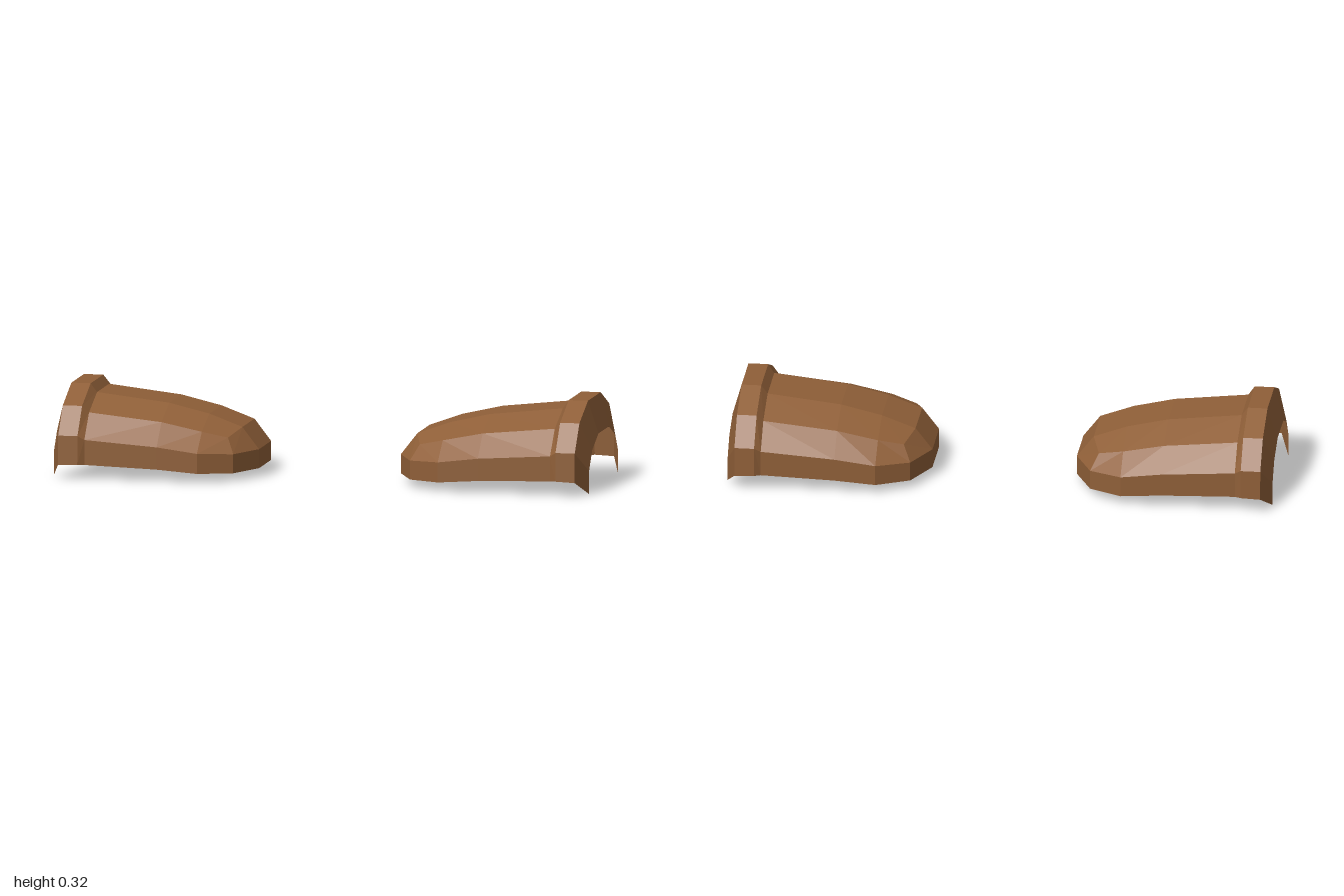
import * as THREE from 'three';

// Half cross-sections: [x, y, z] from the bottom edge up to the crown.
const section = (x, pts) => pts.map(([z, y]) => [x, y, z]);
const neck = section(0.87, [[0.31, 0.053], [0.31, 0.145], [0.232, 0.235], [0.1, 0.29]]);

const rimSections = [
  section(1.0, [[0.24, 0], [0.24, 0.085], [0.187, 0.155], [0.085, 0.2]]),
  section(0.965, [[0.325, 0.052], [0.322, 0.16], [0.245, 0.26], [0.104, 0.322]]),
  section(0.893, [[0.325, 0.055], [0.322, 0.16], [0.245, 0.26], [0.104, 0.322]]),
  neck,
];

const shellSections = [
  neck,
  section(0.6, [[0.31, 0.045], [0.31, 0.127], [0.23, 0.208], [0.1, 0.26]]),
  section(0.45, [[0.308, 0.034], [0.308, 0.108], [0.226, 0.177], [0.1, 0.225]]),
  [[0.33, 0.03, 0.238], [0.33, 0.1, 0.238], [0.358, 0.155, 0.2], [0.327, 0.18, 0.1]],
  [[0.265, 0.03, 0.1], [0.265, 0.1, 0.1], [0.327, 0.18, 0.1], [0.327, 0.18, 0.1]],
];

const flipZ = ([x, y, z]) => [x, y, -z];

// Skins the sections; side = -1 builds the mirrored piece.
function loft(sections, side, capped) {
  const positions = [];
  const tri = (a, b, c) => {
    const [p, q, r] = [a, b, c].map(v => new THREE.Vector3(...v));
    if (q.clone().sub(p).cross(r.clone().sub(p)).length() < 1e-8) return;
    for (const v of side > 0 ? [a, b, c] : [a, c, b]) positions.push(v[0] * side, v[1], v[2]);
  };
  const quad = (a, b, c, d) => { tri(a, b, c); tri(a, c, d); };
  const full = sections.map(s => [...s, ...[...s].reverse().map(flipZ)]);
  for (let i = 0; i < full.length - 1; i++) {
    for (let j = 0; j < full[i].length - 1; j++) {
      quad(full[i][j], full[i][j + 1], full[i + 1][j + 1], full[i + 1][j]);
    }
  }
  // Close the blunt toe between the two halves of the last section
  if (capped) {
    const t = sections[sections.length - 1];
    for (let j = 0; j < 2; j++) quad(t[j], t[j + 1], flipZ(t[j + 1]), flipZ(t[j]));
  }
  const geometry = new THREE.BufferGeometry();
  geometry.setAttribute('position', new THREE.Float32BufferAttribute(positions, 3));
  geometry.computeVertexNormals();
  return geometry;
}

export function createModel() {
  const leather = new THREE.MeshStandardMaterial({ color: 0x8f5f38, side: THREE.DoubleSide, flatShading: true });
  leather.name = 'brown leather';

  const model = new THREE.Group();
  model.name = 'shoulderPads';
  for (const [name, side] of [['left', 1], ['right', -1]]) {
    const pad = new THREE.Group();
    pad.name = name + 'Pad';
    // Raised band with inward lip around the arm opening
    const rim = new THREE.Mesh(loft(rimSections, side, false), leather);
    rim.name = name + 'Rim';
    // Tapering open-bottomed shell
    const shell = new THREE.Mesh(loft(shellSections, side, true), leather);
    shell.name = name + 'Shell';
    pad.add(rim, shell);
    model.add(pad);
  }
  return model;
}
